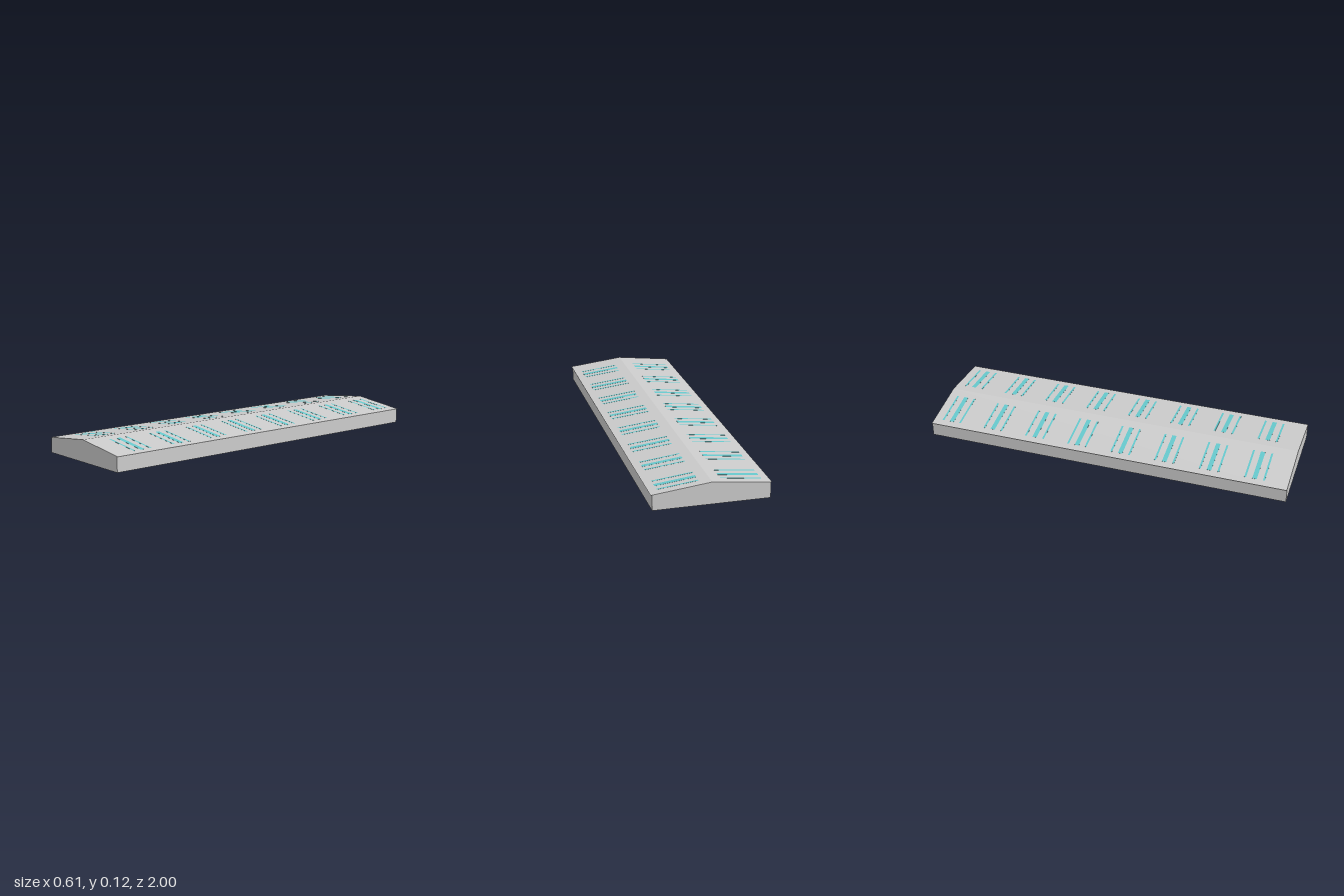
import * as THREE from 'three';

const HALF_LENGTH = 1, WALL_X = 0.3, EAVE_X = 0.307, EAVE_Y = 0.081, RIDGE_Y = 0.117;
const PITCH = (RIDGE_Y - EAVE_Y) / EAVE_X;
const roofY = (x) => RIDGE_Y - PITCH * Math.abs(x);

export function createModel() {
  const group = new THREE.Group();
  const grey = new THREE.MeshStandardMaterial({ color: 0xcccccc, side: THREE.DoubleSide });
  const teal = new THREE.MeshStandardMaterial({ color: 0x66c8cc });

  const add = (name, geometry, material, parent = group) => {
    const mesh = new THREE.Mesh(geometry, material);
    mesh.name = name;
    parent.add(mesh);
    return mesh;
  };

  // Pentagonal end walls; the shed is open underneath
  const wallTop = roofY(WALL_X);
  const gable = new THREE.Shape([
    new THREE.Vector2(-WALL_X, 0),
    new THREE.Vector2(WALL_X, 0),
    new THREE.Vector2(WALL_X, wallTop),
    new THREE.Vector2(0, RIDGE_Y),
    new THREE.Vector2(-WALL_X, wallTop),
  ]);
  for (const s of [1, -1]) {
    const end = add(s > 0 ? 'frontGable' : 'backGable', new THREE.ShapeGeometry(gable), grey);
    end.position.z = s * HALF_LENGTH;
    if (s < 0) end.rotation.y = Math.PI;
  }

  const slopeLength = Math.hypot(EAVE_X, RIDGE_Y - EAVE_Y);
  for (const s of [1, -1]) {
    const side = s > 0 ? 'left' : 'right';

    // Long side wall
    const wall = add(side + 'Wall', new THREE.PlaneGeometry(2 * HALF_LENGTH, wallTop), grey);
    wall.rotation.y = s * Math.PI / 2;
    wall.position.set(s * WALL_X, wallTop / 2, 0);

    // Pitched half of the roof, with a small overhang at the eave
    const slope = new THREE.Group();
    slope.name = side + 'RoofSlope';
    slope.position.set(s * EAVE_X / 2, (EAVE_Y + RIDGE_Y) / 2, 0);
    slope.rotation.z = -s * Math.atan(PITCH);
    group.add(slope);
    const sheet = new THREE.PlaneGeometry(slopeLength, 2 * HALF_LENGTH).rotateX(-Math.PI / 2);
    add(side + 'Roof', sheet, grey, slope);

    // Eight skylights, each a wide strip between two narrow ones, seen from both sides
    for (let i = 0; i < 8; i++) {
      for (const [dz, width] of [[-0.05, 0.01], [0, 0.024], [0.05, 0.01]]) {
        const strip = add(side + 'SkylightStrip', new THREE.BoxGeometry(0.212, 0.001, width), teal, slope);
        strip.position.set(s * (0.16 - EAVE_X / 2), 0, -0.898 + i * 0.2455 + dz);
      }
    }
  }
  return group;
}
